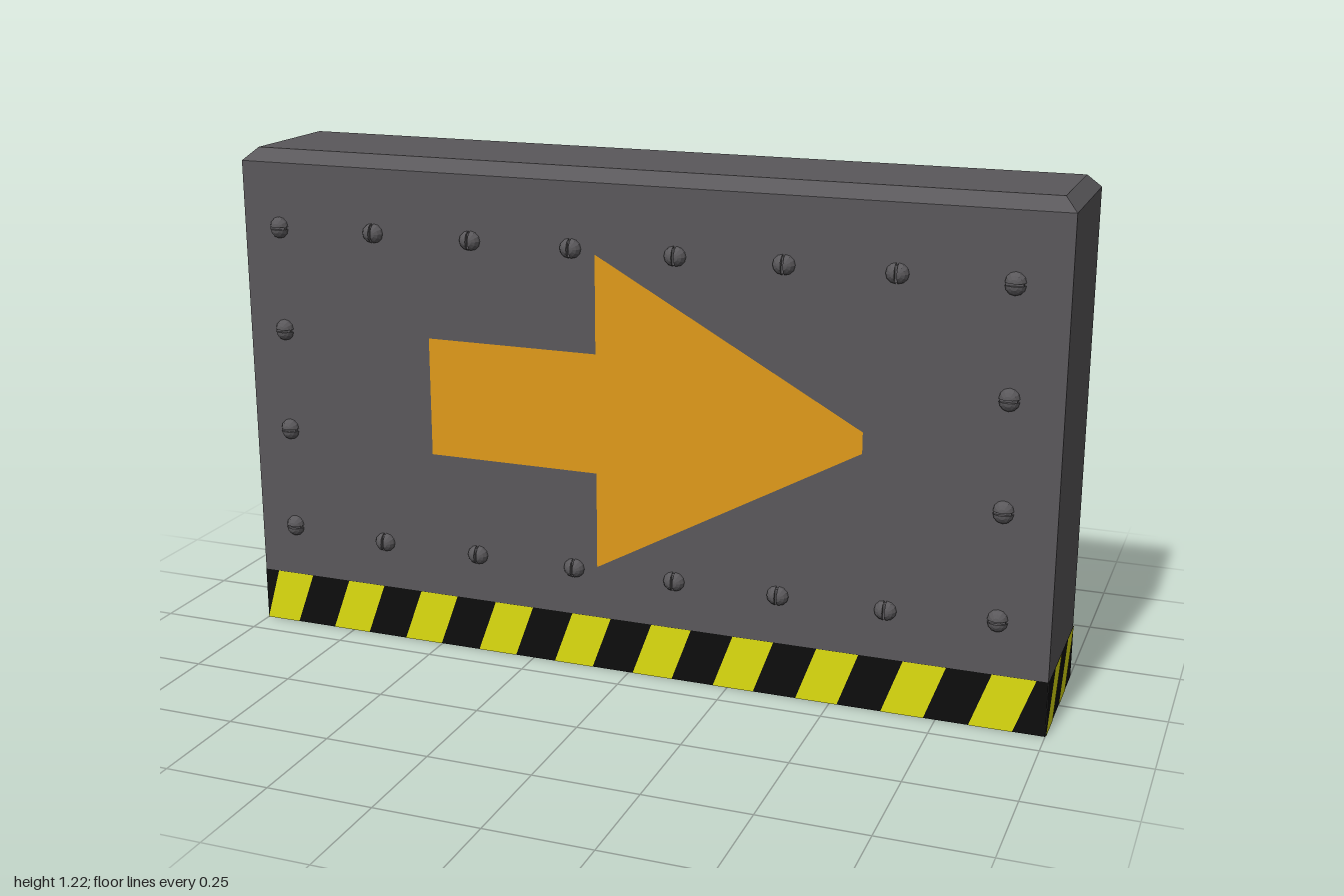
import * as THREE from 'three';
import { mergeGeometries } from 'three/addons/utils/BufferGeometryUtils.js';

const W = 1, D = 0.175, SHOULDER = 1.185, TOP = 1.215, BEVEL = 0.03, BAND = 0.132;

const mat = (color) => new THREE.MeshStandardMaterial({ color, flatShading: true });

// Flat polygons, given as lists of [x, y], merged into one sheet
function sheet(polygons) {
  return mergeGeometries(polygons.map((pts) =>
    new THREE.ShapeGeometry(new THREE.Shape(pts.map(([x, y]) => new THREE.Vector2(x, y))))));
}

const mirrored = (polygons) => polygons.map((pts) => pts.map(([x, y]) => [-x, y]));

// Parallelograms leaning right, cut off at both ends of the band
function stripes(half, start, period, width, lean, count) {
  const clip = (x) => Math.min(half, Math.max(-half, x));
  return Array.from({ length: count }, (_, i) => {
    const x = start + i * period;
    return [[clip(x), 0], [clip(x + width), 0], [clip(x + width + lean), BAND], [clip(x + lean), BAND]];
  });
}

// Slab whose top edge is chamfered
function slabGeometry() {
  const box = new THREE.BoxGeometry(2 * W, 2, 2 * D, 1, 2, 1);
  const p = box.attributes.position;
  for (let i = 0; i < p.count; i++) {
    const y = p.getY(i);
    const inset = y > 0.5 ? BEVEL : 0;
    p.setXYZ(i, Math.sign(p.getX(i)) * (W - inset),
      y > 0.5 ? TOP : y > -0.5 ? SHOULDER : 0,
      Math.sign(p.getZ(i)) * (D - inset));
  }
  const flat = box.toNonIndexed();
  flat.computeVertexNormals();
  return flat;
}

// Round screw head split by a narrow slot along x
function screwGeometry() {
  const r = 0.024, gap = 0.003;
  const halves = [0, Math.PI].map((turn) => {
    const dome = new THREE.SphereGeometry(r, 6, 8, Math.PI, Math.PI).rotateX(Math.PI / 2).rotateZ(Math.PI / 2);
    const half = new THREE.SphereGeometry(r, 6, 8, 0, Math.PI).rotateX(-Math.PI / 2);
    dome.dispose();
    const cap = new THREE.CircleGeometry(r, 12).rotateX(Math.PI / 2);
    return mergeGeometries([half, cap]).translate(0, gap, 0).rotateZ(turn);
  });
  // Floor of the slot
  const floor = new THREE.BoxGeometry(2 * r * 0.8, 2 * gap, 0.028);
  return mergeGeometries([...halves, floor]);
}

export function createModel() {
  const model = new THREE.Group();
  const grey = mat(0x5a585b), black = mat(0x0d0d0d), yellow = mat(0xdede10), orange = mat(0xe09a1a);
  const screwMat = mat(0x5a585b);
  screwMat.side = THREE.DoubleSide;

  const add = (name, geometry, material, parent = model) => {
    const mesh = new THREE.Mesh(geometry, material);
    mesh.name = name;
    parent.add(mesh);
    return mesh;
  };

  add('wallSlab', slabGeometry(), grey);

  // Warning band around the foot
  const longStripes = stripes(W, -1.01, 0.204, 0.1, 0.048, 10);
  const shortStripes = stripes(D, -D, D, D / 2, D / 2, 2);
  const faces = [
    ['front', 0, W, D, longStripes],
    ['left', Math.PI / 2, D, W, shortStripes],
    ['back', Math.PI, W, D, mirrored(longStripes)],
    ['right', -Math.PI / 2, D, W, shortStripes],
  ];
  for (const [side, turn, half, reach, polygons] of faces) {
    const band = new THREE.Group();
    band.name = side + 'WarningBand';
    band.rotation.y = turn;
    const base = [[[-half, 0], [half, 0], [half, BAND], [-half, BAND]]];
    add('blackBand', sheet(base), black, band).position.z = reach + 0.001;
    add('yellowStripes', sheet(polygons), yellow, band).position.z = reach + 0.002;
    model.add(band);
  }

  // Arrows on both broad faces, pointing to +x
  const arrow = [[[-0.51, 0.495], [-0.08, 0.495], [-0.08, 0.26], [0.56, 0.615],
    [0.56, 0.665], [-0.08, 1.02], [-0.08, 0.785], [-0.51, 0.785]]];
  add('frontArrow', sheet(arrow), orange).position.z = D + 0.001;
  const backArrow = add('backArrow', sheet(mirrored(arrow)), orange);
  backArrow.rotation.y = Math.PI;
  backArrow.position.z = -D - 0.001;

  // Screws: a column at each end, rows along top and bottom
  const screw = screwGeometry();
  for (const [side, z, rowTop, columnFoot] of [['front', D, 1.03, 0.262], ['back', -D, 1.07, 0.272]]) {
    const screws = new THREE.Group();
    screws.name = side + 'Screws';
    const place = (x, y, turn) => {
      const head = add('screw', screw, screwMat, screws);
      head.position.set(x, y, z * 0.98);
      head.rotation.z = turn;
    };
    for (let i = 0; i < 8; i++) {
      const x = -0.905 + i * 0.255;
      if (i === 0 || i === 7) {
        for (let j = 0; j < 4; j++) place(x, columnFoot + j * 0.255, 0);
      } else {
        for (const y of [0.25, rowTop]) place(x, y, Math.PI / 2);
      }
    }
    model.add(screws);
  }
  return model;
}
